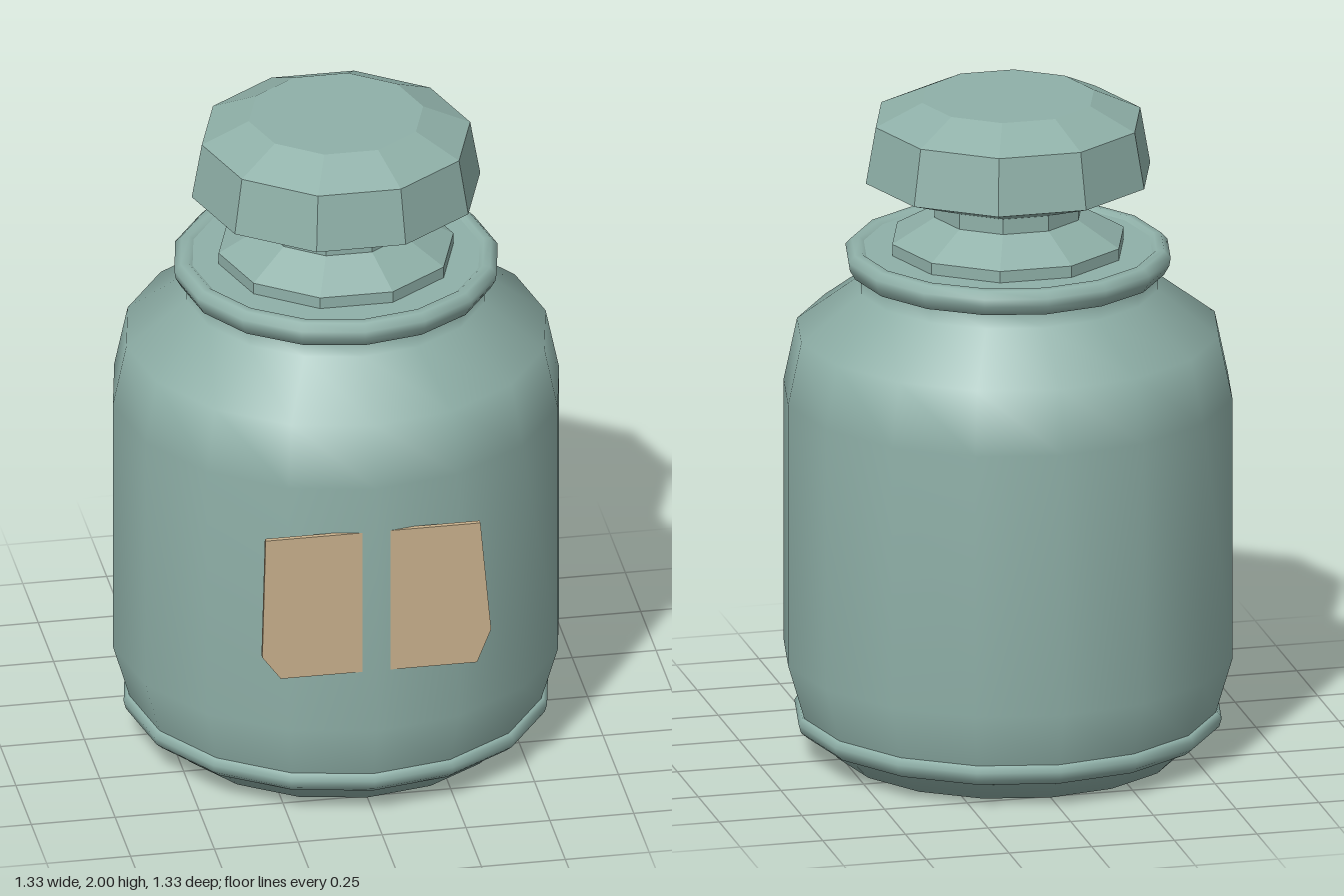
import * as THREE from 'three';

const glass = new THREE.MeshStandardMaterial({ color: 0x8fb0a8 });
glass.name = 'greenGlass';
const paper = new THREE.MeshStandardMaterial({ color: 0xc8b08c });
paper.name = 'tanLabel';

// Turned part from [radius, height] points, listed bottom to top on the outside
function turned(name, profile, sides, faceted = false) {
  const points = profile.map(([r, y]) => new THREE.Vector2(r, y));
  let geometry = new THREE.LatheGeometry(points, sides, Math.PI / 2);
  if (faceted) {
    geometry = geometry.toNonIndexed();
    geometry.computeVertexNormals();
  }
  const mesh = new THREE.Mesh(geometry, glass);
  mesh.name = name;
  return mesh;
}

export function createModel() {
  const jar = new THREE.Group();
  jar.name = 'jar';

  // Base, tapered under the foot ring
  jar.add(turned('base', [[0, 0], [0.51, 0], [0.585, 0.075]], 16));

  // Rounded foot ring
  jar.add(turned('footRing', [
    [0.575, 0.07], [0.605, 0.072], [0.626, 0.09], [0.633, 0.115], [0.622, 0.133], [0.6, 0.135],
  ], 16));

  // Body, shoulder and neck
  jar.add(turned('body', [
    [0.615, 0.13], [0.665, 0.3], [0.665, 1.1], [0.625, 1.29], [0.445, 1.425], [0.445, 1.49],
  ], 16));

  // Rounded lip ring and the flat mouth inside it
  jar.add(turned('lipRing', [
    [0.44, 1.47], [0.462, 1.472], [0.478, 1.5], [0.482, 1.525], [0.463, 1.545], [0.44, 1.547], [0.425, 1.535],
  ], 16));
  jar.add(turned('mouth', [[0.43, 1.537], [0, 1.537]], 16));

  // Faceted stopper: collar, stem and cut knob
  const stopper = new THREE.Group();
  stopper.name = 'stopper';
  stopper.add(
    turned('collar', [[0.35, 1.535], [0.35, 1.572], [0.222, 1.645]], 10, true),
    turned('stem', [[0.222, 1.645], [0.222, 1.695]], 10, true),
    turned('knob', [[0.222, 1.692], [0.43, 1.765], [0.4, 1.935], [0.26, 2], [0, 2]], 10, true),
  );
  jar.add(stopper);

  // Label plate, split by the front edge of the body
  const outline = new THREE.Shape([
    [-0.33, 0.955], [-0.34, 0.57], [-0.285, 0.495], [0.3, 0.495], [0.342, 0.6], [0.31, 0.955],
  ].map(([x, y]) => new THREE.Vector2(x, y)));
  const label = new THREE.Mesh(
    new THREE.ExtrudeGeometry(outline, { depth: 0.0146, bevelEnabled: false }), paper);
  label.name = 'label';
  label.position.z = 0.642;
  jar.add(label);

  return jar;
}
